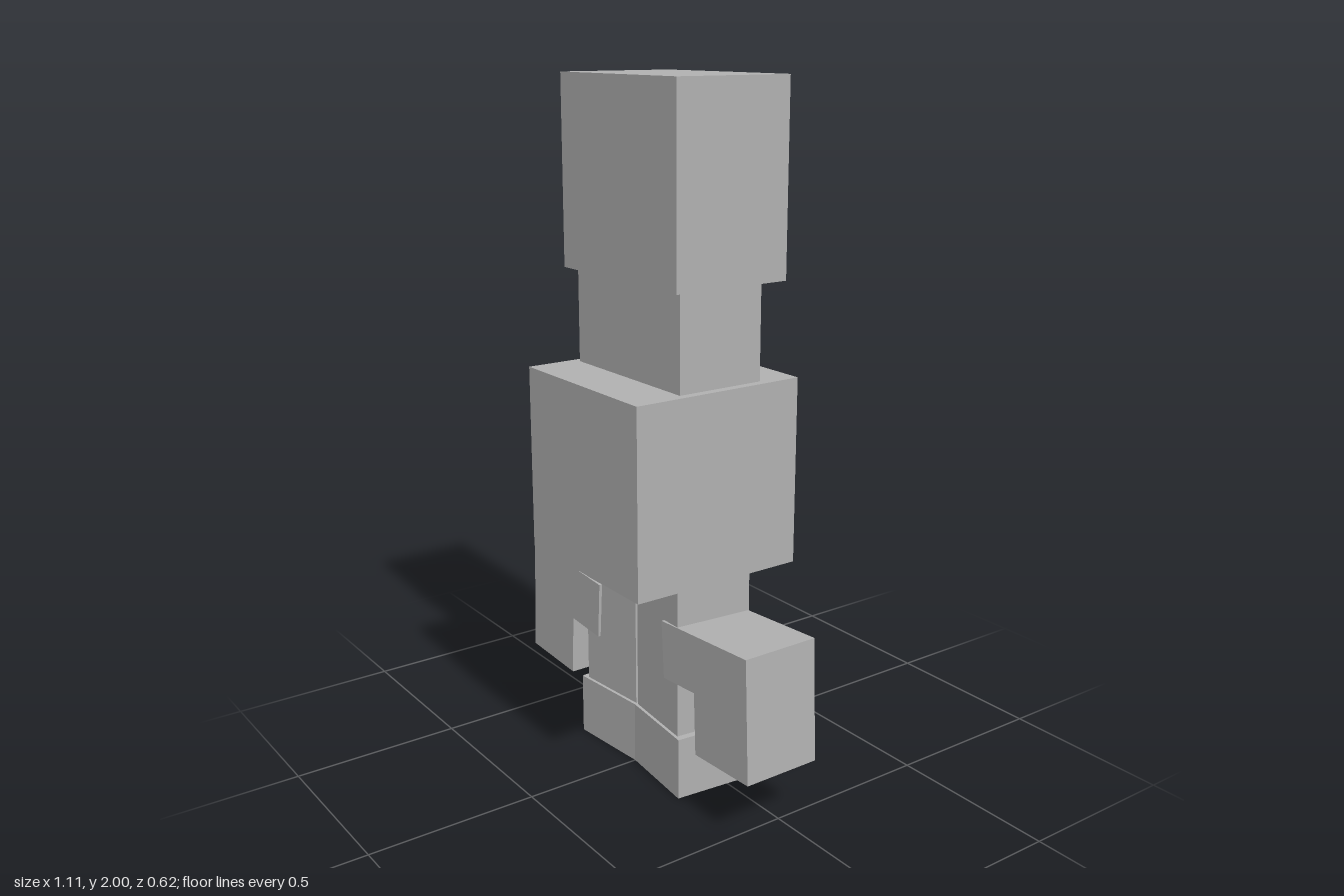
import * as THREE from 'three';

export function createModel() {
  const model = new THREE.Group();
  model.name = 'blockFigure';
  const grey = new THREE.MeshStandardMaterial({ color: 0xb0b0b0 });
  grey.name = 'plain grey';

  function box(name, w, h, d, x, y, z, turn = 0) {
    const mesh = new THREE.Mesh(new THREE.BoxGeometry(w, h, d), grey);
    mesh.name = name;
    mesh.position.set(x, y, z);
    mesh.rotation.y = turn;
    model.add(mesh);
  }

  // Stacked blocks, from the top down
  box('topBlock', 0.545, 0.54, 0.365, -0.0025, 1.73, 0.0025);
  box('neckBlock', 0.495, 0.28, 0.27, -0.0025, 1.32, 0.02);
  box('torsoBlock', 0.545, 0.545, 0.54, -0.0025, 0.9125, 0.04);
  box('hipBridge', 0.06, 0.1, 0.1, 0, 0.6, 0.06);

  // Bent arm outline, pulled through the depth of the body
  const outline = [[0.161, 0.515], [0.172, 0.344], [0.315, 0.354],
    [0.323, 0.169], [0.556, 0.18], [0.54, 0.54]];

  for (const side of [1, -1]) {
    const label = side > 0 ? 'left' : 'right';
    const turn = -0.092 * side;

    // Legs and feet, splayed toward the back
    box(label + 'Leg', 0.23, 0.458, 0.236, 0.13 * side, 0.413, 0.026, turn);
    box(label + 'Foot', 0.269, 0.185, 0.457, 0.14 * side, 0.0925, -0.075, turn);

    const shape = new THREE.Shape(outline.map(([x, y]) => new THREE.Vector2(x * side, y)));
    const arm = new THREE.Mesh(
      new THREE.ExtrudeGeometry(shape, { depth: 0.236, bevelEnabled: false }), grey);
    arm.name = label + 'Arm';
    arm.position.z = -0.079;
    model.add(arm);
  }
  return model;
}
